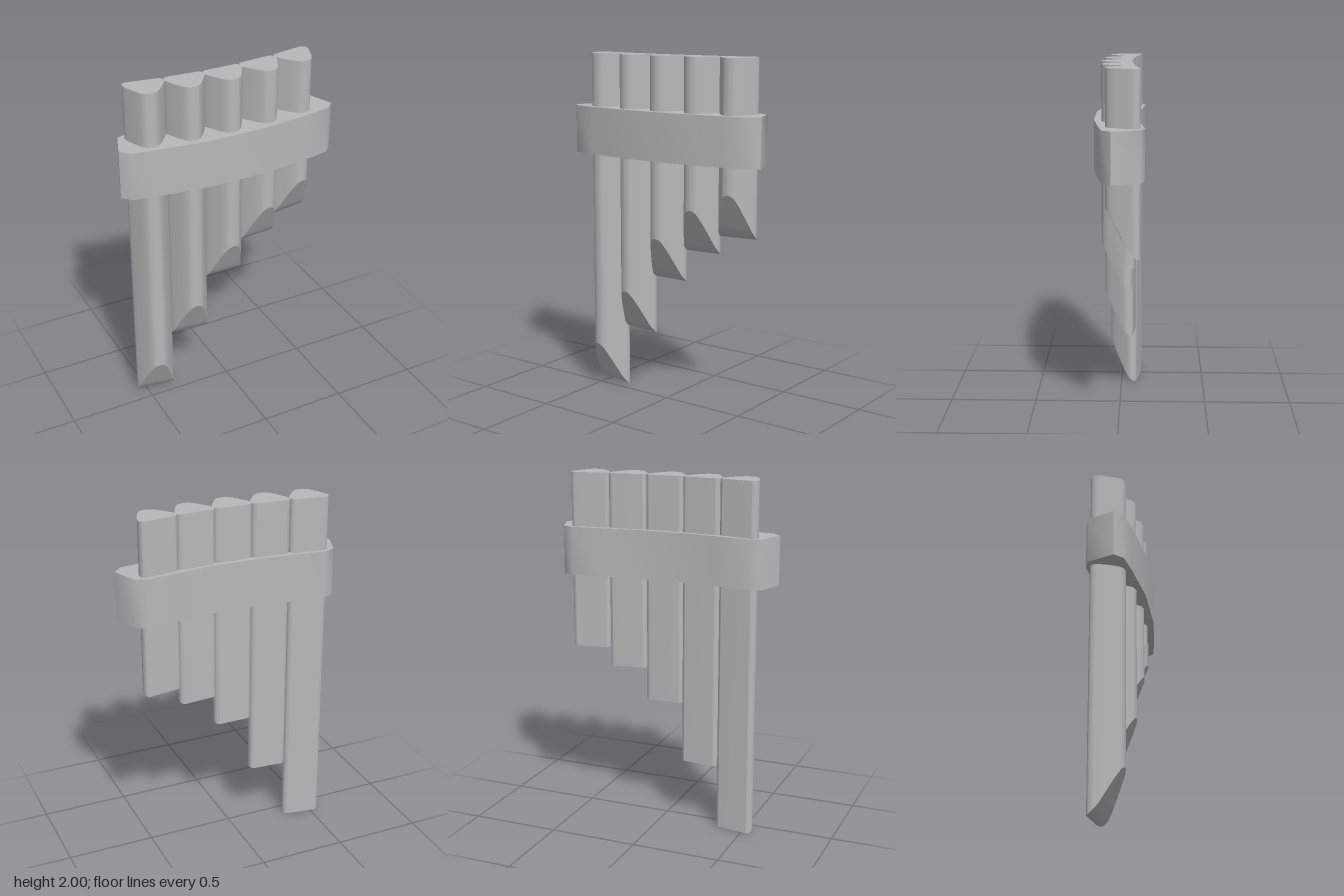
import * as THREE from 'three';
import { toCreasedNormals } from 'three/addons/utils/BufferGeometryUtils.js';

const TOP = 2;

// Half of the rounded-triangle pipe section as (half width, z), from the front apex to the back
const halfSection = new THREE.SplineCurve([
  [0, 0.105], [0.03, 0.098], [0.055, 0.073], [0.082, 0.03], [0.105, -0.012],
  [0.112, -0.035], [0.106, -0.058], [0.088, -0.07],
].map(([w, z]) => new THREE.Vector2(w, z))).getPoints(28);

// Height of the slanted cut above the pipe's lowest point
function cutHeight(z) {
  if (z > 0) return 0.06 + 1.95 * z;
  return 0.06 * Math.pow(Math.max(0, z + 0.07) / 0.07, 2);
}

// Builds walls, top cap and cut face with separate vertices so their rims stay sharp
function pipeGeometry(base) {
  const positions = [];
  const index = [];
  const add = (x, y, z) => positions.push(x, y, z) / 3 - 1;
  const quad = (a, b, c, d) => index.push(a, b, c, a, c, d);

  // Side walls around the whole ring
  const left = halfSection.slice(1).reverse().map((p) => new THREE.Vector2(-p.x, p.y));
  const walls = [...halfSection, ...left].map((p) => [
    add(p.x, base + cutHeight(p.y), p.y), add(p.x, TOP, p.y),
  ]);
  walls.forEach(([b, t], i) => {
    const [nb, nt] = walls[(i + 1) % walls.length];
    quad(b, nb, nt, t);
  });

  // Caps as strips from left to right, running front to back
  const cap = (height, up) => {
    const rows = halfSection.map((p) => [
      add(-p.x, height(p.y), p.y), add(p.x, height(p.y), p.y),
    ]);
    for (let i = 0; i < rows.length - 1; i++) {
      const [l, r] = rows[i];
      const [nl, nr] = rows[i + 1];
      if (up) quad(l, r, nr, nl);
      else quad(l, nl, nr, r);
    }
  };
  cap(() => TOP, true);
  cap((z) => base + cutHeight(z), false);

  const geometry = new THREE.BufferGeometry();
  geometry.setAttribute('position', new THREE.Float32BufferAttribute(positions, 3));
  geometry.setIndex(index);
  geometry.computeVertexNormals();
  return geometry;
}

// Solid curved band, outlined from above as (x, z)
function bandGeometry() {
  const outline = [
    [-0.643, 0.03], [-0.595, 0.08], [-0.45, 0.104], [-0.17, 0.138], [0.17, 0.138],
    [0.45, 0.104], [0.595, 0.08], [0.643, 0.03], [0.587, -0.12], [0.523, -0.143],
    [0.34, -0.121], [0.14, -0.098], [-0.14, -0.098], [-0.34, -0.121],
    [-0.523, -0.143], [-0.587, -0.12],
  ];
  const shape = new THREE.Shape(outline.map(([x, z]) => new THREE.Vector2(x, -z)));
  const geometry = new THREE.ExtrudeGeometry(shape, { depth: 0.275, bevelEnabled: false });
  geometry.rotateX(-Math.PI / 2).translate(0, 1.42, 0);
  return toCreasedNormals(geometry, 1.0);
}

export function createModel() {
  const model = new THREE.Group();
  model.name = 'panPipes';
  const grey = new THREE.MeshStandardMaterial({ color: 0xb8b8b8 });
  grey.name = 'grey';

  // Pipes fan out along a shallow arc: x, z, turn, lowest point
  [
    [-0.452, -0.037, 0.16, 0],
    [-0.228, -0.011, 0.08, 0.365],
    [-0.005, 0, 0, 0.71],
    [0.218, -0.011, -0.08, 0.895],
    [0.44, -0.037, -0.16, 1.0],
  ].forEach(([x, z, turn, base], i) => {
    const pipe = new THREE.Mesh(pipeGeometry(base), grey);
    pipe.name = `pipe${i + 1}`;
    pipe.position.set(x, 0, z);
    pipe.rotation.y = -turn;
    model.add(pipe);
  });

  // Band holding the pipes together
  const band = new THREE.Mesh(bandGeometry(), grey);
  band.name = 'band';
  model.add(band);
  return model;
}
